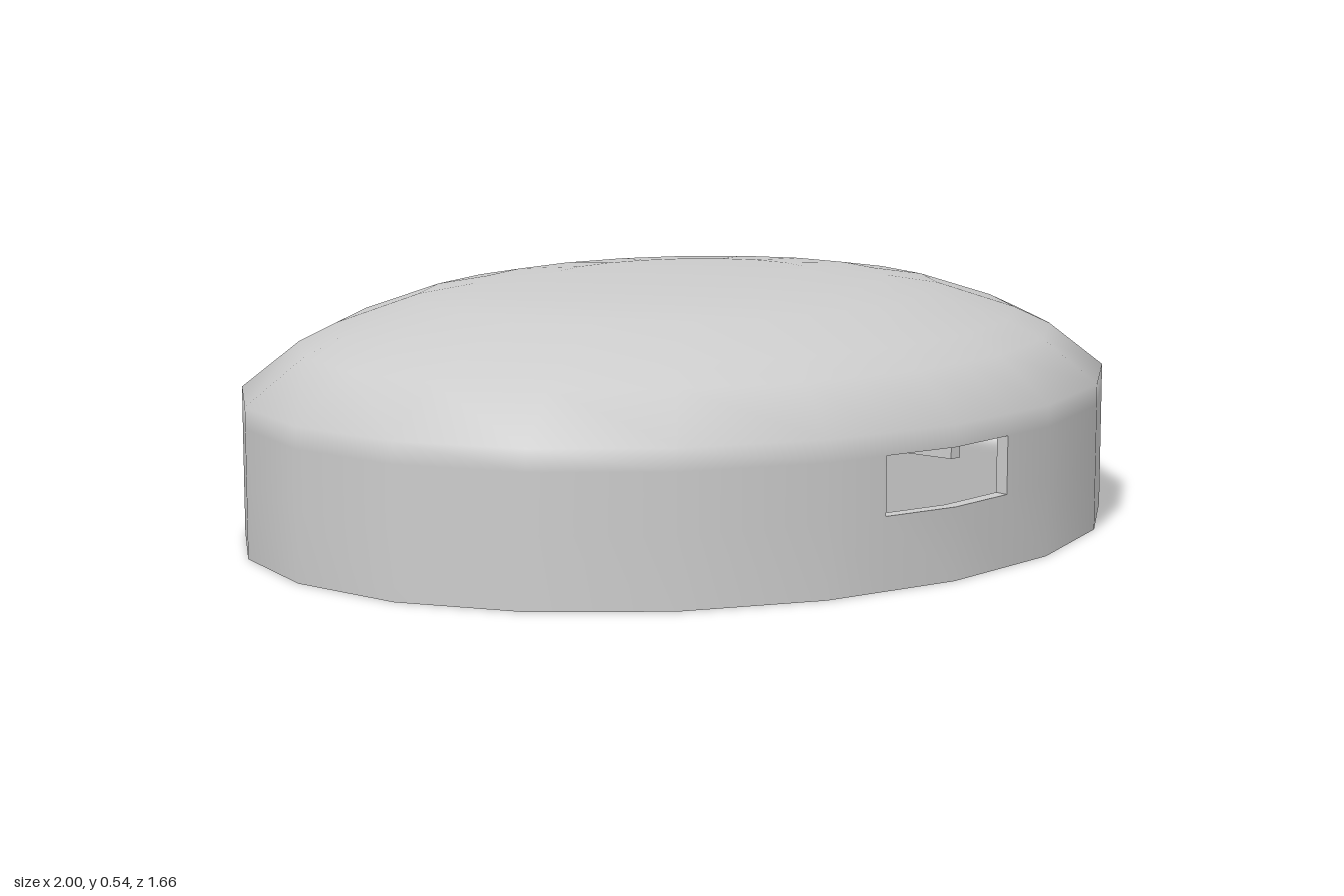
import * as THREE from 'three';
import { toCreasedNormals } from 'three/addons/utils/BufferGeometryUtils.js';

const SIDES = 20;
const RX = 1, RZ = 0.83, WALL = 0.03;

// Columns round the oval: [position on outer polygon, on inner polygon], in sides.
// The fractional ones are the straight jambs of the openings.
const columns = Array.from({ length: SIDES }, (_, k) => [k, k]);
columns.push([4.45, 4.433], [5.55, 5.567], [14.45, 14.433], [15.55, 15.567], [19.57, 19.555]);
columns.sort((a, b) => a[0] - b[0]);

// Rows from the bottom rim to the crown: [scale of the oval, outer y, inner y]
const rows = [
  [1, 0, 0], [1, 0.15, 0.15], [1, 0.22, 0.22], [1, 0.27, 0.27], [1, 0.315, 0.30],
  [0.87, 0.41, 0.385], [0.785, 0.448, 0.42], [0.602, 0.505, 0.476],
  [0.48, 0.524, 0.495], [0.3, 0.537, 0.507], [0, 0.54, 0.51],
];

// Point on a straight-sided oval
function ovalPoint(u, rx, rz, y) {
  const k = Math.floor(u), t = u - k;
  const corner = (i) => {
    const a = (i * Math.PI * 2) / SIDES;
    return new THREE.Vector3(rx * Math.cos(a), y, rz * Math.sin(a));
  };
  return corner(k).lerp(corner(k + 1), t);
}

// Front and back windows, and a doorway in the left side
function isOpen(u, y) {
  const window = y > 0.15 && y < 0.27 && Math.abs((u % 10) - 5) < 0.55;
  const doorway = y < 0.22 && (u < 1 || u > 19.57);
  return window || doorway;
}

function shellGeometry() {
  const n = columns.length, m = rows.length - 1;
  const pos = [];
  const tri = (...p) => p.forEach((v) => pos.push(v.x, v.y, v.z));
  const quad = (a, b, c, d) => { tri(a, b, c); tri(a, c, d); };
  const outer = (i, j) => ovalPoint(columns[i % n][0], RX * rows[j][0], RZ * rows[j][0], rows[j][1]);
  const inner = (i, j) => ovalPoint(columns[i % n][1], (RX - WALL) * rows[j][0], (RZ - WALL) * rows[j][0], rows[j][2]);
  const solid = (i, j) => {
    if (j < 0) return false;
    if (j >= m) return true;
    i = (i + n) % n;
    const next = i + 1 < n ? columns[i + 1][0] : SIDES;
    return !isOpen((columns[i][0] + next) / 2, (rows[j][1] + rows[j + 1][1]) / 2);
  };

  for (let j = 0; j < m; j++) for (let i = 0; i < n; i++) {
    if (!solid(i, j)) continue;
    const [a, b, c, d] = [outer(i, j), outer(i + 1, j), outer(i + 1, j + 1), outer(i, j + 1)];
    const [e, f, g, h] = [inner(i, j), inner(i + 1, j), inner(i + 1, j + 1), inner(i, j + 1)];
    if (j === m - 1) { // crown fans
      tri(a, d, b);
      tri(e, f, h);
      continue;
    }
    quad(a, d, c, b);
    quad(e, f, g, h);
    // Rim and opening edges through the wall
    if (!solid(i, j - 1)) quad(a, b, f, e);
    if (!solid(i, j + 1)) quad(d, h, g, c);
    if (!solid(i - 1, j)) quad(a, e, h, d);
    if (!solid(i + 1, j)) quad(b, c, g, f);
  }
  const geo = new THREE.BufferGeometry();
  geo.setAttribute('position', new THREE.Float32BufferAttribute(pos, 3));
  return toCreasedNormals(geo, 1.1);
}

export function createModel() {
  const group = new THREE.Group();
  group.name = 'domedCover';
  const shell = new THREE.Mesh(shellGeometry(), new THREE.MeshStandardMaterial({ color: 0xcccccc }));
  shell.name = 'shell';
  group.add(shell);
  return group;
}
